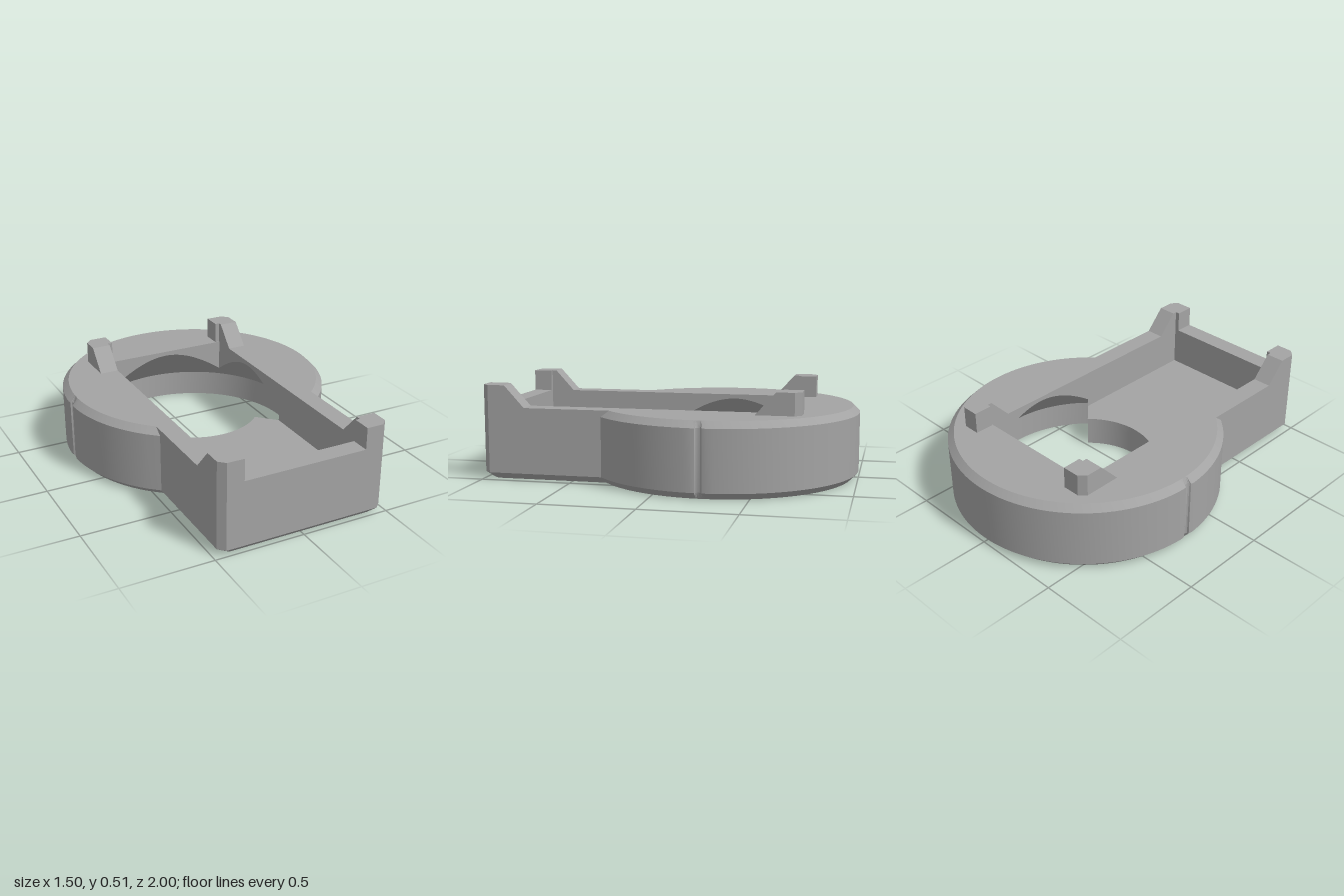
import * as THREE from 'three';
import { toCreasedNormals } from 'three/addons/utils/BufferGeometryUtils.js';

const RAD = Math.PI / 180;
const CZ = -0.25;        // centre of the round housing
const R = 0.75;          // housing radius
const TOP = 0.395, POST = 0.515, FLOOR = 0.17;
const BEVEL = 0.035;
const HALF = 0.475;      // half width of the tray
const POCKET = 0.37;     // half width of the pocket
const POCKET_END = 0.895;
const BORE = 0.59, LIP = 0.38, CONE_Y = 0.15;

const polar = (deg, r) => [r * Math.sin(deg * RAD), CZ + r * Math.cos(deg * RAD)];

function range(a, b, step) {
  const out = [];
  for (let v = a; v <= b + 1e-6; v += step) out.push(v);
  return out;
}

// Angles round the housing, denser at the two side grooves
const grooveOffsets = [-1.5, -1.2, -0.7, 0.7, 1.2, 1.5];
const rimAngles = [...range(45, 315, 3), ...grooveOffsets.map(o => 90 + o), ...grooveOffsets.map(o => 270 + o)]
  .sort((a, b) => a - b);

// Keyhole outline: housing inset by dc, tray inset by db
function outline(dc, db) {
  const r = R - dc, x = HALF - db, end = 1 - db;
  const a0 = Math.asin(x / r) / RAD;
  const rim = [a0, ...rimAngles, 360 - a0].map(a => {
    const s = R * RAD * Math.min(Math.abs(a - 90), Math.abs(a - 270));
    const groove = Math.sqrt(Math.max(0, 0.02 ** 2 - s * s));
    return polar(a, Math.min(r, R - groove));
  });
  return [...rim, [-x, end - BEVEL], [-x + BEVEL, end], [x - BEVEL, end], [x, end - BEVEL]];
}

// Skin between rings of [x, y, z] points
function loft(rings, closed) {
  const n = rings[0].length, index = [];
  for (let j = 0; j < rings.length - 1; j++) {
    for (let i = 0; i < (closed ? n : n - 1); i++) {
      const a = j * n + i, b = j * n + (i + 1) % n;
      index.push(a, a + n, b, b, a + n, b + n);
    }
  }
  const geo = new THREE.BufferGeometry();
  geo.setAttribute('position', new THREE.Float32BufferAttribute(rings.flat(2), 3));
  geo.setIndex(index);
  return toCreasedNormals(geo, 0.4);
}

const atHeight = (pts, y) => pts.map(([x, z]) => [x, y, z]);
const vectors = pts => pts.map(p => new THREE.Vector2(p[0], p[1]));

// Level face at height y, with an optional hole
function plate(pts, y, hole) {
  const shape = new THREE.Shape(vectors(pts));
  if (hole) shape.holes.push(new THREE.Path(vectors(hole)));
  return new THREE.ShapeGeometry(shape).rotateX(Math.PI / 2).translate(0, y, 0);
}

export function createModel() {
  const model = new THREE.Group();
  model.name = 'holder';
  const grey = new THREE.MeshStandardMaterial({ color: 0xa3a3a3, side: THREE.DoubleSide });
  grey.name = 'grey';
  const add = (name, geo, parent = model) => {
    const mesh = new THREE.Mesh(geo, grey);
    mesh.name = name;
    parent.add(mesh);
    return mesh;
  };

  // Outer wall with bevelled bottom and bevelled round rim
  add('outerWall', loft([
    atHeight(outline(BEVEL, BEVEL), 0),
    atHeight(outline(0, 0), BEVEL),
    atHeight(outline(0, 0), TOP - BEVEL),
    atHeight(outline(BEVEL, 0), TOP),
  ], true));

  // Top face round the pocket
  const back = CZ - POCKET;
  add('topFace', plate(outline(BEVEL, 0), TOP,
    [[-POCKET, back], [POCKET, back], [POCKET, POCKET_END], [-POCKET, POCKET_END]]));

  // Bottom face with the bore, narrowed by the tongue at the front
  const lip = range(-45, 45, 3).map(a => polar(a, LIP));
  const boreAngles = range(45, 315, 3);
  add('bottomFace', plate(outline(BEVEL, BEVEL), 0, [...lip, ...boreAngles.map(a => polar(a, BORE))]));

  // Bore, its cone, and the pocket walls above the cone
  const square = a => POCKET / Math.max(Math.abs(Math.sin(a * RAD)), Math.abs(Math.cos(a * RAD)));
  const ring = (radius, height) => boreAngles.map(a => {
    const [x, z] = polar(a, radius(a));
    return [x, height(a), z];
  });
  add('bore', loft([
    ring(() => BORE, () => 0),
    ring(() => BORE, () => CONE_Y),
    ring(square, a => CONE_Y + BORE - square(a)),
    ring(square, () => TOP),
  ], false));

  // Tray floor with its curved tongue
  const corner = CZ + POCKET;
  const trayEdge = [[POCKET, corner], [POCKET, POCKET_END], [-POCKET, POCKET_END], [-POCKET, corner]];
  add('trayFloor', plate([...lip, ...trayEdge], FLOOR));
  add('trayWalls', loft([atHeight(trayEdge, FLOOR), atHeight(trayEdge, TOP)], false));
  add('tongueEdge', loft([atHeight(lip, 0), atHeight(lip, FLOOR)], false));

  // Radial faces at the two sides of the tongue
  const rc = square(45);
  const cheek = new THREE.Shape(vectors([[LIP, 0], [BORE, 0], [BORE, CONE_Y],
    [rc, CONE_Y + BORE - rc], [rc, FLOOR], [LIP, FLOOR]]));
  for (const a of [45, -45]) {
    const mesh = add('tongueSide', new THREE.ShapeGeometry(cheek));
    mesh.rotation.y = (a - 90) * RAD;
    mesh.position.z = CZ;
  }

  // Corner posts with sloped braces, mirrored to all four corners
  const footprint = new THREE.Shape(vectors([[0.345, 1], [0.44, 1], [HALF, 0.965], [HALF, 0.87],
    [POCKET, 0.87], [POCKET, POCKET_END], [0.345, POCKET_END]]));
  const postGeo = new THREE.ExtrudeGeometry(footprint, { depth: POST - TOP, bevelEnabled: false })
    .rotateX(Math.PI / 2).translate(0, POST, 0);
  const slope = new THREE.Shape(vectors([[-0.87, TOP], [-0.76, TOP], [-0.87, POST]]));
  const braceGeo = new THREE.ExtrudeGeometry(slope, { depth: HALF - POCKET, bevelEnabled: false })
    .rotateY(Math.PI / 2).translate(POCKET, 0, 0);
  for (const sx of [1, -1]) {
    for (const sz of [1, -1]) {
      const post = new THREE.Group();
      post.name = (sz > 0 ? 'front' : 'back') + (sx > 0 ? 'Left' : 'Right') + 'Post';
      add('block', postGeo, post);
      add('brace', braceGeo, post);
      post.scale.set(sx, 1, sz);
      post.position.z = sz > 0 ? 0 : 0.27;
      model.add(post);
    }
  }
  return model;
}
